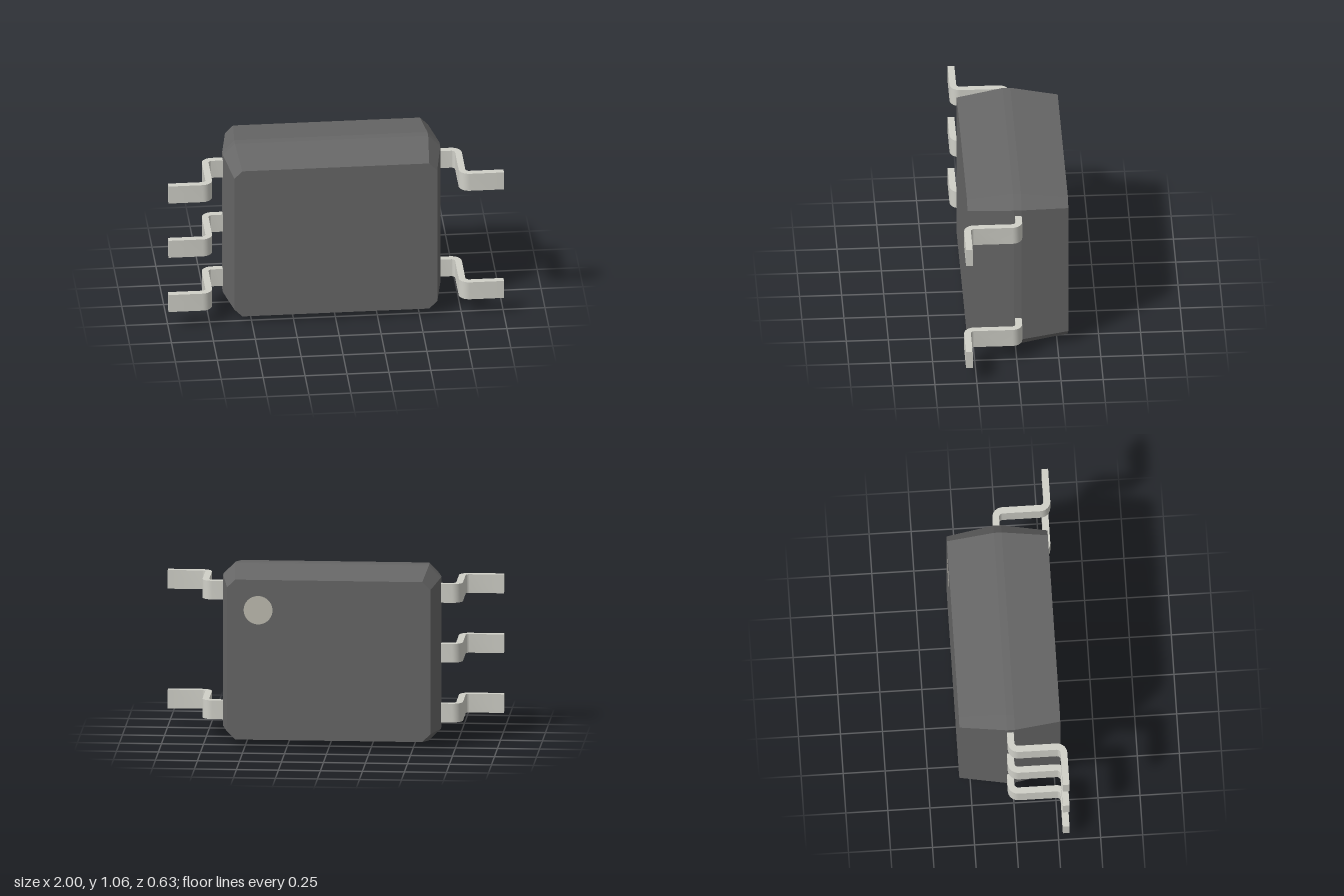
import * as THREE from 'three';
import { toCreasedNormals } from 'three/addons/utils/BufferGeometryUtils.js';

const MID_Y = 0.529;
const bodyMaterial = new THREE.MeshStandardMaterial({ color: 0x676767 });
const leadMaterial = new THREE.MeshStandardMaterial({ color: 0xd0d0c8 });
const dotMaterial = new THREE.MeshStandardMaterial({ color: 0xbebcb0 });

// Chamfered rectangle, counter-clockwise seen from +z
function octagon(w, h, c, z) {
  return [
    [w, -h + c], [w, h - c], [w - c, h], [-w + c, h],
    [-w, h - c], [-w, -h + c], [-w + c, -h], [w - c, -h],
  ].map(([x, y]) => [x, y + MID_Y, z]);
}

// Body: octagonal cross-sections from back to front, widest at the parting band
function bodyGeometry() {
  const rings = [
    octagon(0.605, 0.484, 0.048, -0.315),
    octagon(0.648, 0.529, 0.072, -0.035),
    octagon(0.648, 0.529, 0.072, 0.012),
    octagon(0.605, 0.484, 0.048, 0.285),
  ];
  const pos = [];
  const tri = (a, b, c) => pos.push(...a, ...b, ...c);
  for (let r = 0; r < rings.length - 1; r++) {
    for (let i = 0; i < 8; i++) {
      const j = (i + 1) % 8;
      const a = rings[r][i], b = rings[r][j], c = rings[r + 1][j], d = rings[r + 1][i];
      tri(a, b, c);
      tri(a, c, d);
    }
  }
  const back = rings[0], front = rings[3];
  for (let i = 1; i < 7; i++) {
    tri(front[0], front[i], front[i + 1]);
    tri(back[0], back[i + 1], back[i]);
  }
  const geometry = new THREE.BufferGeometry();
  geometry.setAttribute('position', new THREE.Float32BufferAttribute(pos, 3));
  geometry.computeVertexNormals();
  return geometry;
}

// Gull-wing lead: bent strip profile in x-z, extruded along y
function leadGeometry(side) {
  const t = 0.02, R = 0.042, width = 0.113;
  const x = 0.755, top = -0.015, foot = 0.295;
  const arc = (cx, cz, r, from, to) => Array.from({ length: 9 }, (_, i) => {
    const a = from + (to - from) * i / 8;
    return [cx + r * Math.cos(a), cz + r * Math.sin(a)];
  });
  const edge = (o) => [
    [0.6, top - o],
    ...arc(x - R, top + R, R + o, -Math.PI / 2, 0),
    ...arc(x + R, foot - R, R - o, Math.PI, Math.PI / 2),
    [1, foot - o],
  ];
  const outline = [...edge(t), ...edge(-t).reverse()];
  const shape = new THREE.Shape(outline.map(([px, pz]) => new THREE.Vector2(side * px, pz)));
  const geometry = new THREE.ExtrudeGeometry(shape, { depth: width, bevelEnabled: false });
  geometry.translate(0, 0, -width / 2);
  geometry.rotateX(Math.PI / 2);
  return toCreasedNormals(geometry, Math.PI / 6);
}

export function createModel() {
  const group = new THREE.Group();
  const add = (name, geometry, material) => {
    const mesh = new THREE.Mesh(geometry, material);
    mesh.name = name;
    group.add(mesh);
    return mesh;
  };

  add('body', bodyGeometry(), bodyMaterial);

  // Two leads on the left, three on the right
  for (const [side, name, offsets] of [
    [1, 'leftLead', [-0.362, 0.362]],
    [-1, 'rightLead', [-0.362, 0, 0.362]],
  ]) {
    const geometry = leadGeometry(side);
    offsets.forEach((dy, i) => {
      add(name + (i + 1), geometry, leadMaterial).position.y = MID_Y + dy;
    });
  }

  // First-pin marker on the back face
  const dot = add('pinMarker', new THREE.CircleGeometry(0.086, 40), dotMaterial);
  dot.rotation.y = Math.PI;
  dot.position.set(0.42, 0.83, -0.317);

  return group;
}
